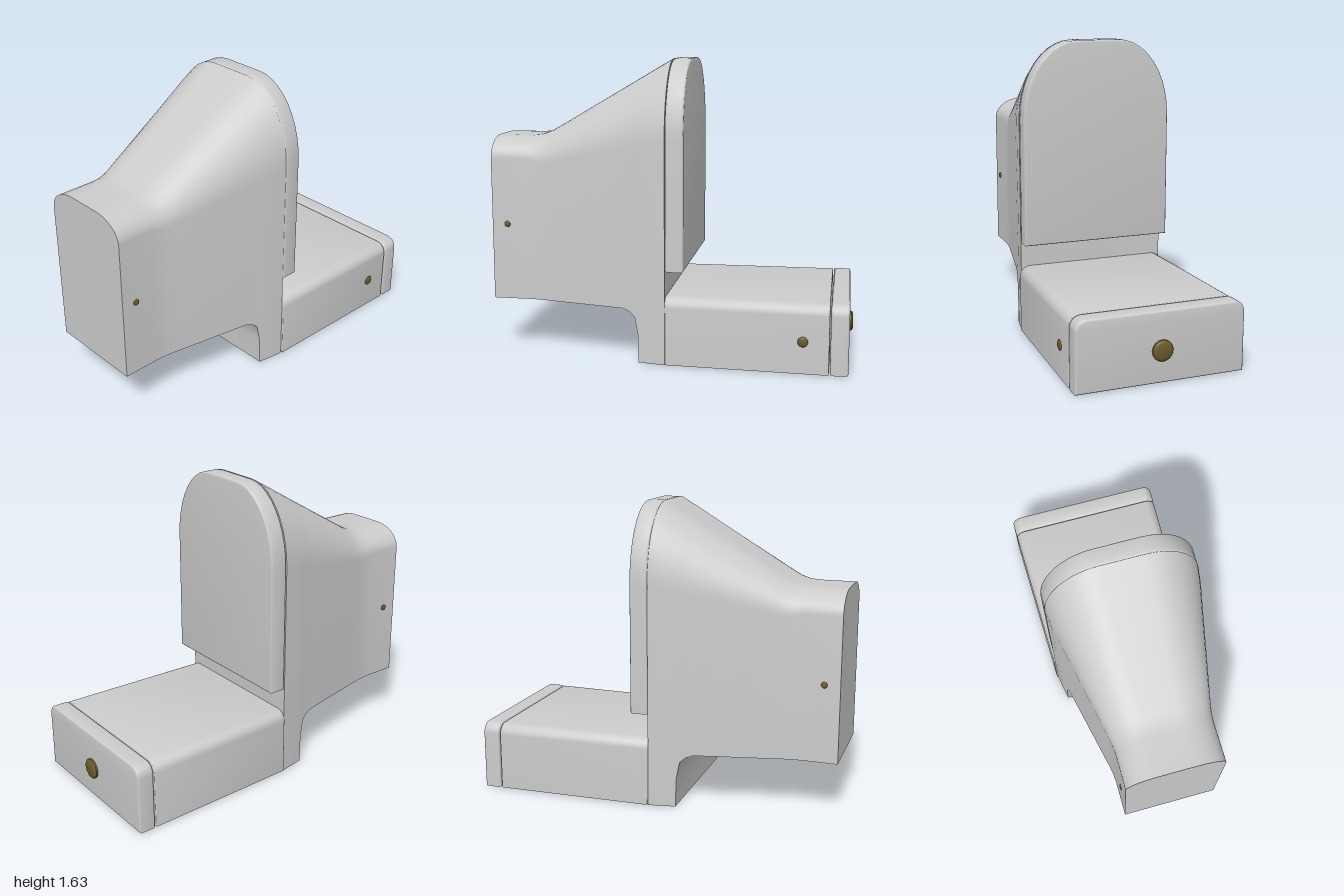
import * as THREE from 'three';
import { toCreasedNormals } from 'three/addons/utils/BufferGeometryUtils.js';

const grey = new THREE.MeshStandardMaterial({ color: 0xcccccc });
const greyDouble = new THREE.MeshStandardMaterial({ color: 0xcccccc, side: THREE.DoubleSide });
const brass = new THREE.MeshStandardMaterial({ color: 0x6b5a2a });

// Upright outline: square bottom corners, elliptical top corners (counterclockwise)
function outline(cx, hw, bottom, top, rx, ry, steps = 10) {
  const pts = [new THREE.Vector2(cx + hw, bottom)];
  for (const side of [1, -1]) {
    for (let i = 0; i <= steps; i++) {
      const a = (side > 0 ? i / steps : 1 - i / steps) * Math.PI / 2;
      pts.push(new THREE.Vector2(
        cx + side * (hw - rx + rx * Math.cos(a)),
        top - ry + ry * Math.sin(a)));
    }
  }
  pts.push(new THREE.Vector2(cx - hw, bottom));
  return pts;
}

function add(group, name, geometry, material = grey) {
  const mesh = new THREE.Mesh(geometry, material);
  mesh.name = name;
  group.add(mesh);
  return mesh;
}

// Outline extruded from zMin to zMax with a small bevel that stays inside the outline
function slab(pts, zMin, zMax, bevel) {
  const g = new THREE.ExtrudeGeometry(new THREE.Shape(pts), {
    depth: zMax - zMin - 2 * bevel, bevelEnabled: true, bevelThickness: bevel,
    bevelSize: bevel, bevelOffset: -bevel, bevelSegments: 3,
  });
  return g.translate(0, 0, zMin + bevel);
}

// Bowl sections from front to back: z, half width, top, bottom
const SECTIONS = [
  [1, 0.268, 1.205, 0.295], [0.8, 0.268, 1.205, 0.295], [0.75, 0.272, 1.211, 0.295],
  [0.7, 0.28, 1.228, 0.295], [0.65, 0.291, 1.255, 0.295], [0.45, 0.333, 1.372, 0.295],
  [0.24, 0.377, 1.494, 0.295], [0.2, 0.385, 1.518, 0.28], [0.17, 0.392, 1.535, 0.255],
  [0.152, 0.396, 1.546, 0.16], [0.148, 0.397, 1.548, 0], [0.08, 0.411, 1.588, 0],
  [0, 0.422, 1.635, 0],
];
const FLAT_END = 6; // last section of the flat underside

function buildBowl(group) {
  const rings = SECTIONS.map(([z, hw, top, bottom]) => {
    const t = THREE.MathUtils.clamp((0.8 - z) / 0.8, 0, 1);
    return outline(0.01 * (1 - t), hw, bottom, top, 0.17 + 0.13 * t, 0.12 + 0.3 * t);
  });
  const n = rings[0].length;
  const positions = [], index = [];
  rings.forEach((ring, i) => ring.forEach(p => positions.push(p.x, p.y, SECTIONS[i][0])));
  for (let i = 0; i < rings.length - 1; i++) {
    const count = i >= FLAT_END ? n : n - 1; // close underneath only behind the flat part
    for (let j = 0; j < count; j++) {
      const k = (j + 1) % n;
      const a = i * n + j, b = i * n + k, c = a + n, d = b + n;
      index.push(a, c, b, b, c, d);
    }
  }
  const shell = new THREE.BufferGeometry();
  shell.setAttribute('position', new THREE.Float32BufferAttribute(positions, 3));
  shell.setIndex(index);
  add(group, 'bowlShell', toCreasedNormals(shell, 0.7));

  // Flat front and back walls
  add(group, 'bowlFront', new THREE.ShapeGeometry(new THREE.Shape(rings[0]))).position.z = 1;
  add(group, 'bowlBack', new THREE.ShapeGeometry(new THREE.Shape(rings.at(-1))).rotateY(Math.PI));

  // Flat underside with the round outlet
  const flat = rings.slice(0, FLAT_END + 1);
  const right = flat.map((r, i) => new THREE.Vector2(r[0].x, SECTIONS[i][0]));
  const left = flat.map((r, i) => new THREE.Vector2(r[n - 1].x, SECTIONS[i][0]));
  const under = new THREE.Shape([...right, ...left.reverse()]);
  under.holes.push(new THREE.Path().absarc(0, 0.47, 0.13, 0, Math.PI * 2, true));
  add(group, 'bowlUnderside', new THREE.ShapeGeometry(under, 16).rotateX(Math.PI / 2))
    .position.y = 0.295;
  const well = [[0.13, 0], [0.13, 0.25], [0.11, 0.32], [0.06, 0.37], [0, 0.38]]
    .map(([x, y]) => new THREE.Vector2(x, y));
  add(group, 'outletWell', new THREE.LatheGeometry(well, 32), greyDouble)
    .position.set(0, 0.295, 0.47);
}

// Low round button with a softened rim, axis along +y
function buttonGeometry(radius, height) {
  const profile = [[0, 0], [1, 0], [1, 0.6], [0.9, 0.85], [0.75, 1], [0, 1]]
    .map(([r, h]) => new THREE.Vector2(r * radius, h * height));
  return toCreasedNormals(new THREE.LatheGeometry(profile, 24), 0.7);
}

export function createModel() {
  const model = new THREE.Group();
  model.name = 'toilet';

  const bowl = new THREE.Group();
  bowl.name = 'bowl';
  buildBowl(bowl);
  model.add(bowl);

  // Seat lid behind the rim
  const lid = slab(outline(0, 0.422, 0.515, 1.635, 0.3, 0.42), -0.1, -0.002, 0.01);
  add(model, 'seatLid', toCreasedNormals(lid, 0.6));

  // Tank widens towards its cover
  const tank = slab(outline(0, 0.43, 0.003, 0.378, 0.06, 0.06), -0.878, 0, 0.006);
  const p = tank.attributes.position;
  for (let i = 0; i < p.count; i++) p.setX(i, p.getX(i) * (1 - 0.062 * p.getZ(i)));
  add(model, 'tank', toCreasedNormals(tank, 0.6));
  const cover = slab(outline(0, 0.455, 0.003, 0.38, 0.06, 0.06), -0.98, -0.884, 0.012);
  add(model, 'tankCover', toCreasedNormals(cover, 0.6));

  // Flush button, tank inlet and floor screws
  const flush = add(model, 'flushButton', buttonGeometry(0.055, 0.025), brass);
  flush.rotation.x = -Math.PI / 2;
  flush.position.set(0, 0.175, -0.975);
  const inlet = add(model, 'tankInlet', buttonGeometry(0.028, 0.015), brass);
  inlet.rotation.z = -Math.PI / 2;
  inlet.position.set(0.442, 0.178, -0.74);
  for (const side of [1, -1]) {
    const screw = add(model, 'floorScrew', buttonGeometry(0.017, 0.012), brass);
    screw.rotation.z = -side * Math.PI / 2;
    screw.position.set(0.01 + side * 0.263, 0.72, 0.915);
  }
  return model;
}
